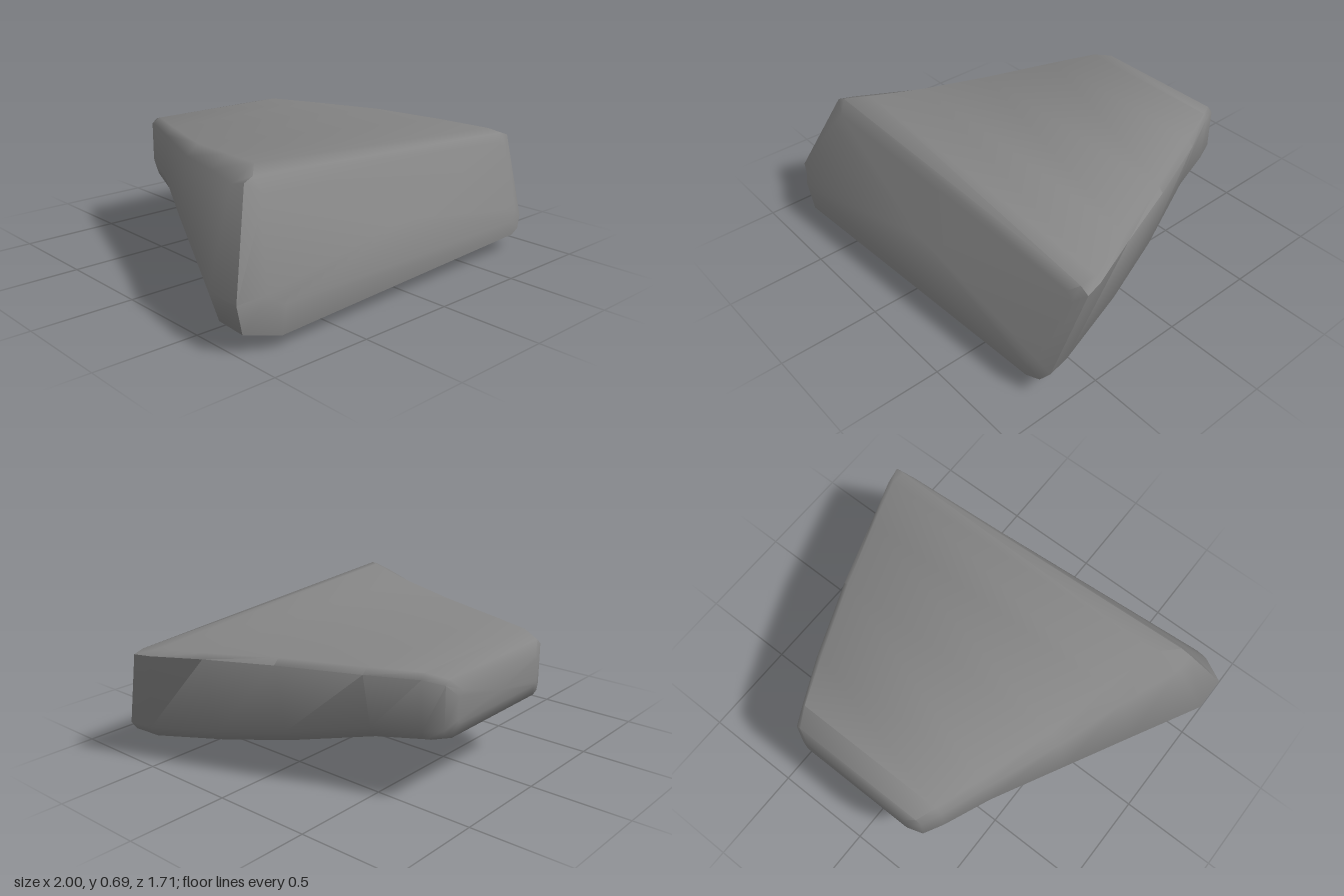
import * as THREE from 'three';
import { toCreasedNormals } from 'three/addons/utils/BufferGeometryUtils.js';

// Each ring runs anticlockwise seen from the front: two points at the upper left,
// three at the lower left, three at the lower right, two at the upper right.
const frontRings = [
  // inner border of the sloping front face
  [[-.75, .6, .64], [-.79, .54, .672], [-.88, .25, .82], [-.85, .215, .843], [-.81, .2, .852],
    [.8, .16, .765], [.84, .175, .755], [.87, .21, .74], [.94, .5, .605], [.9, .53, .595]],
  // outline of the front face
  [[-.77, .67, .6], [-.82, .65, .605], [-1, .22, .77], [-.97, .085, .768], [-.82, .06, .835],
    [.83, .085, .76], [.9, .1, .742], [.945, .155, .72], [1, .557, .57], [.95, .575, .565]],
  // widest section, just behind the front
  [[-.68, .69, .5], [-.82, .63, .52], [-1, .22, .59], [-.95, .08, .59], [-.81, 0, .64],
    [.78, .06, .6], [.88, .095, .6], [.92, .15, .6], [.98, .562, .48], [.95, .585, .48]],
];
// Upright sections: z, then x and y of the ten points
const backSections = [
  [.22, [[-.6, .66], [-.7, .605], [-.81, .25], [-.77, .15], [-.66, .095],
    [.66, .125], [.77, .145], [.82, .2], [.885, .58], [.86, .605]]],
  [-.12, [[-.52, .632], [-.585, .58], [-.64, .29], [-.61, .21], [-.53, .165],
    [.57, .185], [.665, .205], [.71, .26], [.765, .597], [.735, .625]]],
  [-.5, [[-.4, .63], [-.44, .59], [-.46, .38], [-.43, .3], [-.37, .265],
    [.44, .27], [.52, .285], [.56, .34], [.61, .6], [.58, .628]]],
  [-.73, [[-.32, .63], [-.355, .595], [-.36, .37], [-.345, .325], [-.3, .3],
    [.42, .3], [.47, .32], [.49, .36], [.5, .6], [.48, .628]]],
  [-.825, [[-.28, .605], [-.31, .58], [-.31, .38], [-.3, .345], [-.27, .33],
    [.4, .33], [.44, .345], [.455, .38], [.455, .585], [.43, .605]]],
  [-.855, [[-.22, .55], [-.24, .53], [-.24, .42], [-.235, .405], [-.22, .4],
    [.37, .4], [.39, .405], [.4, .42], [.4, .53], [.37, .55]]],
];

function loft(rings) {
  const n = rings[0].length;
  const index = [];
  const positions = rings.flat(2);
  // skin between neighbouring rings
  for (let i = 0; i < rings.length - 1; i++) {
    for (let j = 0; j < n; j++) {
      const k = (j + 1) % n;
      const a = i * n + j, b = i * n + k, c = b + n, d = a + n;
      index.push(a, d, c, a, c, b);
    }
  }
  // end caps fanned around their centres
  [0, rings.length - 1].forEach((r, end) => {
    const centre = positions.length / 3;
    for (let axis = 0; axis < 3; axis++) {
      positions.push(rings[r].reduce((sum, p) => sum + p[axis], 0) / n);
    }
    for (let j = 0; j < n; j++) {
      const a = r * n + j, b = r * n + (j + 1) % n;
      index.push(centre, end ? b : a, end ? a : b);
    }
  });
  const geometry = new THREE.BufferGeometry();
  geometry.setAttribute('position', new THREE.Float32BufferAttribute(positions, 3));
  geometry.setIndex(index);
  return toCreasedNormals(geometry, 0.95);
}

export function createModel() {
  const group = new THREE.Group();
  group.name = 'rock';
  const rings = [
    ...frontRings,
    ...backSections.map(([z, points]) => points.map(([x, y]) => [x, y, z])),
  ];
  const stone = new THREE.Mesh(loft(rings), new THREE.MeshStandardMaterial({ color: 0x868686 }));
  stone.name = 'wedgeStone';
  group.add(stone);
  return group;
}
